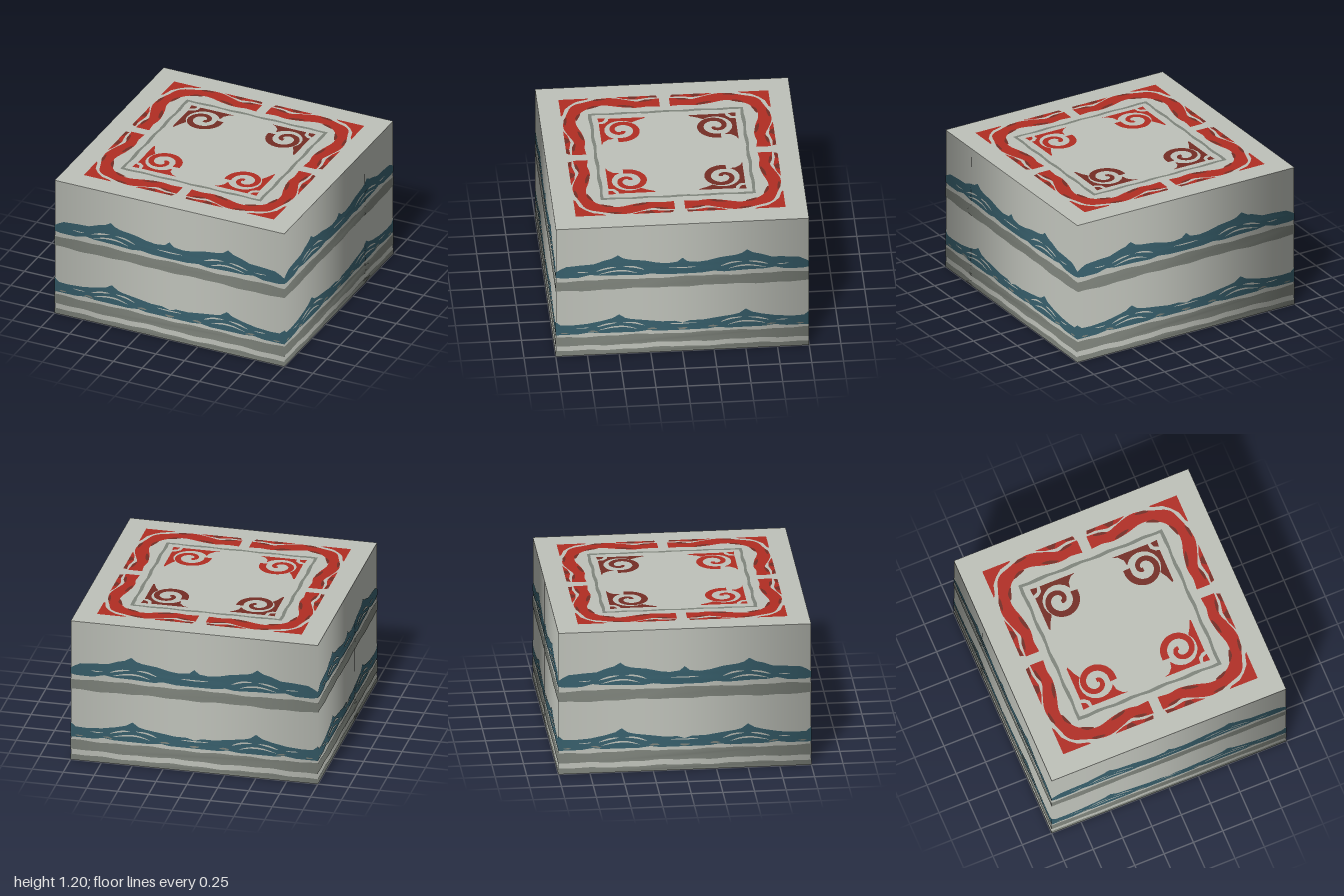
import * as THREE from 'three';

const mat = (name, color) => {
  const m = new THREE.MeshStandardMaterial({ color, side: THREE.DoubleSide });
  m.name = name;
  return m;
};
const V = (x, y) => new THREE.Vector2(x, y);
const toV = (list) => list.map(([x, y]) => V(x, y));

// Outline of a brush stroke following a spline; width may vary with t
function stroke(points, width, n = 24) {
  const curve = new THREE.SplineCurve(toV(points));
  const a = [], b = [];
  for (let i = 0; i <= n; i++) {
    const t = i / n, p = curve.getPoint(t), d = curve.getTangent(t);
    const w = (typeof width === 'function' ? width(t) : width) / 2;
    a.push(V(p.x - d.y * w, p.y + d.x * w));
    b.push(V(p.x + d.y * w, p.y - d.x * w));
  }
  return a.concat(b.reverse());
}
const lens = (points, w) => stroke(points, (t) => w * Math.sin(Math.PI * (0.04 + 0.92 * t)), 10);
const mirrorX = (pts) => pts.map((p) => V(-p.x, p.y));

// Uneven horizontal stripe across a whole wall
function stripe(y0, y1, seed) {
  const lo = [], hi = [];
  const wob = (x, s) => 0.004 * Math.sin(x * 9 + s) + 0.003 * Math.sin(x * 23 + 2 * s);
  for (let i = 0; i <= 48; i++) {
    const x = -1 + i / 24;
    lo.push(V(x, y0 ? y0 + wob(x, seed) : 0));
    hi.push(V(x, y1 + wob(x, seed + 2)));
  }
  return lo.concat(hi.reverse());
}

// Symmetric wave band: half profiles run from the centre outwards
function waveBand(top, bottom) {
  const t = toV(top), b = toV(bottom);
  return [...mirrorX(t).reverse(), ...t.slice(1), ...b.slice().reverse(), ...mirrorX(b).slice(1)];
}

export function createModel() {
  const group = new THREE.Group();
  const stone = mat('pale stone', 0xbfc2ba);
  const grey = mat('stripe grey', 0x80857d);
  const blue = mat('wave blue', 0x38606d);
  const red = mat('ornament red', 0xb22d23);
  const darkRed = mat('ornament dark red', 0x752d25);

  const shapeOf = (pts, holes = []) => {
    const s = new THREE.Shape(pts);
    holes.forEach((h) => s.holes.push(new THREE.Path(h)));
    return s;
  };
  const add = (name, geo, material, parent = group) => {
    const m = new THREE.Mesh(geo, material);
    m.name = name;
    parent.add(m);
    return m;
  };

  // Wall paint: wave bands with slits cut out, and flecks of grey
  const upper = {
    top: [[0, 0.88], [0.04, 0.845], [0.12, 0.835], [0.2, 0.845], [0.3, 0.87], [0.42, 0.885], [0.47, 0.9], [0.51, 0.93],
      [0.56, 0.9], [0.62, 0.885], [0.7, 0.855], [0.8, 0.85], [0.92, 0.84], [0.96, 0.82], [1, 0.795]],
    bottom: [[0, 0.73], [0.15, 0.732], [0.25, 0.745], [0.33, 0.733], [0.5, 0.742], [0.65, 0.745], [0.73, 0.757], [0.82, 0.735], [0.95, 0.735], [1, 0.745]],
  };
  const lower = {
    top: [[0, 0.268], [0.06, 0.287], [0.16, 0.287], [0.28, 0.305], [0.4, 0.322], [0.45, 0.335], [0.5, 0.372], [0.55, 0.34],
      [0.63, 0.318], [0.75, 0.295], [0.88, 0.286], [0.96, 0.29], [1, 0.325]],
    bottom: [[0, 0.2], [0.2, 0.2], [0.27, 0.212], [0.36, 0.2], [0.65, 0.202], [0.73, 0.213], [0.82, 0.2], [1, 0.2]],
  };
  const both = (pts) => [pts, mirrorX(pts)];
  const slits = (y) => [
    ...both(lens([[0.3, y + 0.05], [0.38, y + 0.078], [0.47, y + 0.087]], 0.014)),
    ...both(lens([[0.52, y + 0.086], [0.6, y + 0.075], [0.68, y + 0.052]], 0.014)),
    ...both(lens([[0.36, y + 0.022], [0.45, y + 0.046], [0.55, y + 0.046], [0.66, y + 0.022]], 0.014)),
    ...both(lens([[0.74, y + 0.05], [0.79, y + 0.048], [0.84, y + 0.052]], 0.008)),
    lens([[-0.11, y + 0.055], [0, y + 0.052], [0.11, y + 0.055]], 0.01),
  ];
  const flecks = [
    ...both(lens([[0.66, 0.212], [0.7, 0.222], [0.74, 0.225]], 0.014)),
    ...both(lens([[0.2, 0.222], [0.24, 0.225], [0.28, 0.22]], 0.016)),
    ...both(lens([[0.9, 0.216], [0.93, 0.214], [0.96, 0.217]], 0.012)),
    lens([[-0.04, 0.218], [0, 0.213], [0.04, 0.218]], 0.018),
  ];
  const wallPaint = [
    ['upperWave', blue, [shapeOf(waveBand(upper.top, upper.bottom), slits(0.735))]],
    ['lowerWave', blue, [shapeOf(waveBand(lower.top, lower.bottom), [...slits(0.208), ...flecks])]],
    ['greyStripes', grey, [
      shapeOf(stripe(0, 0.046, 1)), shapeOf(stripe(0.09, 0.175, 3)), shapeOf(stripe(0.612, 0.703, 5)),
      ...flecks.map((f) => shapeOf(f)),
    ]],
  ];

  // Set a face at distance d, with normals softened around the corners
  const placeWall = (geo, d) => {
    geo.scale(d, 1, 1).translate(0, 0, d);
    const p = geo.attributes.position, n = geo.attributes.normal, v = new THREE.Vector3();
    for (let i = 0; i < p.count; i++) {
      v.set(p.getX(i), 0, d).normalize();
      n.setXYZ(i, v.x, v.y, v.z);
    }
    return geo;
  };

  // Four thin walls, open underneath, painted outside and inside
  for (let k = 0; k < 4; k++) {
    const wall = new THREE.Group();
    wall.name = 'wall' + (k + 1);
    wall.rotation.y = (k * Math.PI) / 2;
    group.add(wall);
    const panel = new THREE.PlaneGeometry(2, 1.198, 20, 1).translate(0, 0.599, 0);
    add('wallPanel', placeWall(panel, 0.997), stone, wall);
    for (const [name, material, shapes] of wallPaint) {
      add(name + 'Outside', placeWall(new THREE.ShapeGeometry(shapes), 1), material, wall);
      add(name + 'Inside', placeWall(new THREE.ShapeGeometry(shapes), 0.994), material, wall);
    }
  }

  // Lid
  add('lid', new THREE.PlaneGeometry(1.998, 1.998).rotateX(-Math.PI / 2).translate(0, 1.198, 0), stone);

  const lidPaint = (name, shapes, material, lift = 0) => {
    for (const [side, y] of [['Top', 1.1995 + lift], ['Underside', 1.1965 - lift]]) {
      add(name + side, new THREE.ShapeGeometry(shapes).rotateX(-Math.PI / 2).translate(0, y, 0), material);
    }
  };

  // Wobbly grey square frame
  const frameSide = (r, s) => {
    const pts = [];
    for (let k = 0; k < 4; k++) {
      for (let i = 0; i < 16; i++) {
        const u = -r + (2 * r * i) / 16;
        const w = r + (i ? 0.005 * Math.sin(i * 1.7 + k * 2 + s) : 0);
        pts.push(V(u, -w).rotateAround(V(0, 0), (k * Math.PI) / 2));
      }
    }
    return pts;
  };
  lidPaint('greyFrame', [shapeOf(frameSide(0.612, 0), [frameSide(0.587, 1)])], grey);

  // Ornaments for one quarter of the lid, as (x, z) distances from the centre
  const swap = (pts) => pts.map((p) => V(p.y, p.x));
  const halfPath = [[0.04, 0.728], [0.13, 0.728], [0.22, 0.712], [0.32, 0.735], [0.44, 0.768], [0.54, 0.76], [0.63, 0.725]];
  const ribbon = stroke([...halfPath, [0.69, 0.69], ...halfPath.map(([x, z]) => [z, x]).reverse()],
    (t) => 0.1 + 0.012 * Math.cos(t * Math.PI * 8), 64);
  const edgeLens = toV([[0.06, 0.828], [0.05, 0.797], [0.12, 0.802], [0.22, 0.783], [0.31, 0.797], [0.385, 0.828]]);
  const cornerPiece = toV([[0.828, 0.828], [0.59, 0.828], [0.61, 0.812], [0.69, 0.79], [0.745, 0.745], [0.79, 0.69], [0.812, 0.61], [0.828, 0.59]]);
  const patches = [
    lens([[0.09, 0.769], [0.14, 0.765], [0.2, 0.75]], 0.025),
    lens([[0.24, 0.678], [0.3, 0.692], [0.37, 0.712]], 0.03),
    lens([[0.46, 0.806], [0.52, 0.802], [0.57, 0.79]], 0.025),
    lens([[0.52, 0.713], [0.57, 0.702], [0.62, 0.675]], 0.025),
    toV([[0.06, 0.827], [0.055, 0.8], [0.12, 0.806], [0.14, 0.827]]),
    toV([[0.2, 0.827], [0.23, 0.788], [0.27, 0.795], [0.29, 0.827]]),
  ];
  // Spandrel hollowed around a scroll
  const C = [0.36, 0.37];
  const polar = (deg, r) => [C[0] + r * Math.cos((deg * Math.PI) / 180), C[1] + r * Math.sin((deg * Math.PI) / 180)];
  const hollow = [];
  for (let a = 150; a >= -40; a -= 19) hollow.push(polar(a, 0.135));
  const spandrel = toV([[0.16, 0.54], [0.2, 0.525], [0.235, 0.485], ...hollow, [0.49, 0.24], [0.52, 0.17], [0.53, 0.18],
    [0.53, 0.46], [0.5, 0.465], [0.465, 0.495], [0.46, 0.54]]);
  const spiral = [];
  for (let i = 0; i <= 18; i++) spiral.push(polar(140 + i * 25, 0.13 * Math.pow(1 - i / 18, 0.75) + 0.016));
  const scroll = stroke(spiral.slice(1), (t) => 0.058 - 0.026 * t, 48);
  const cornerDot = toV([[0.54, 0.545], [0.485, 0.54], [0.495, 0.505], [0.535, 0.485]]);

  for (const sx of [1, -1]) {
    for (const sz of [1, -1]) {
      const place = (pts) => shapeOf(pts.map((p) => V(sx * p.x, -sz * p.y)));
      const label = (sz > 0 ? 'front' : 'back') + (sx > 0 ? 'Left' : 'Right');
      lidPaint(label + 'Border', [ribbon, edgeLens, swap(edgeLens), cornerPiece].map(place), red);
      lidPaint(label + 'BorderPatches', [...patches, ...patches.map(swap)].map(place), darkRed, 0.001);
      const scrollMat = sz > 0 ? red : darkRed;
      lidPaint(label + 'Spandrel', [place(spandrel), place(cornerDot)], scrollMat);
      lidPaint(label + 'Scroll', [place(scroll)], scrollMat, 0.0005);
    }
  }
  return group;
}
